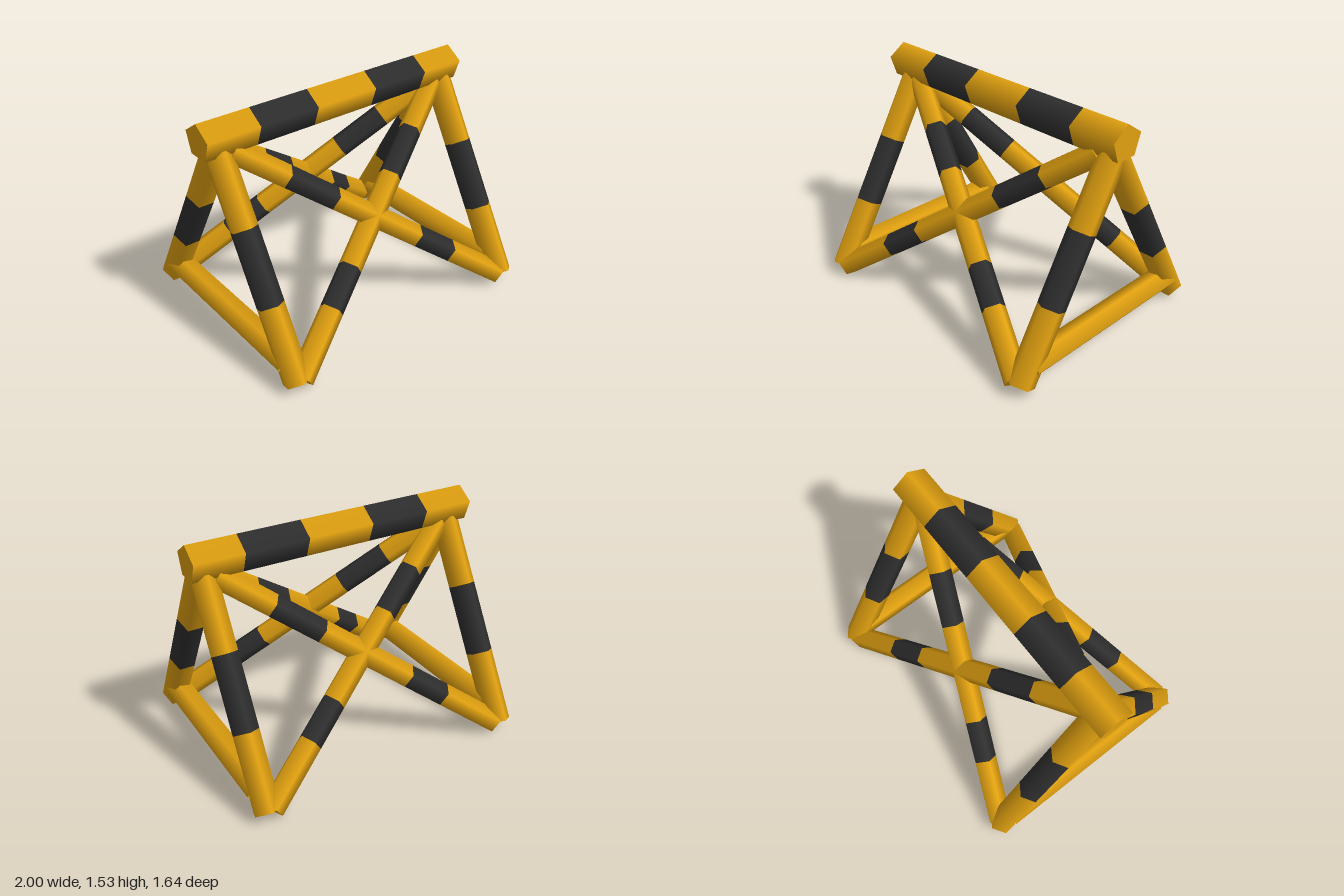
import * as THREE from 'three';

const SIDES = 5;
const yellow = new THREE.MeshStandardMaterial({ color: 0xe0a010 });
yellow.name = 'safety yellow';
const black = new THREE.MeshStandardMaterial({ color: 0x2f2f2f });
black.name = 'stripe black';

// Five-sided pole between two points, with one ridge facing `ridge`.
// `stops` are the fractions along the pole where the colour alternates.
function pole(name, from, to, ridge, halfWidth, depth, stops = []) {
  const a = new THREE.Vector3(...from);
  const b = new THREE.Vector3(...to);
  const rings = [0, ...stops, 1];
  const spans = rings.length - 1;
  const length = a.distanceTo(b);
  const geometry = new THREE.CylinderGeometry(1, 1, 1, SIDES, spans);

  // Slide the rings to the stripe boundaries
  const position = geometry.attributes.position;
  for (let i = 0; i < position.count; i++) {
    const ring = Math.round((position.getY(i) + 0.5) * spans);
    position.setY(i, rings[ring] * length);
  }

  // Alternate the colours along each side, keeping both caps yellow
  geometry.clearGroups();
  for (let side = 0; side < SIDES; side++) {
    for (let s = 0; s < spans; s++) {
      geometry.addGroup((side * spans + s) * 6, 6, s % 2);
    }
  }
  geometry.addGroup(SIDES * spans * 6, SIDES * 6, 0);

  // Lay the pole along its axis
  const axis = b.clone().sub(a).normalize();
  const out = new THREE.Vector3(...ridge);
  out.addScaledVector(axis, -out.dot(axis)).normalize();
  const across = new THREE.Vector3().crossVectors(axis, out);
  geometry.scale(halfWidth, 1, depth);
  geometry.applyMatrix4(new THREE.Matrix4().makeBasis(across, axis, out).setPosition(a));

  const mesh = new THREE.Mesh(geometry, [yellow, black]);
  mesh.name = name;
  return mesh;
}

export function createModel() {
  const model = new THREE.Group();
  model.name = 'barricade';

  // Top rail
  model.add(pole('topRail', [-1, 1.411, 0], [1, 1.411, 0], [0, 1, 0],
    0.127, 0.119, [0.18, 0.39, 0.62, 0.835]));

  const legX = { right: -0.88, left: 0.91 };
  const middle = 0.015;

  for (const [face, z] of [['front', 1], ['back', -1]]) {
    const outward = [0, 0.5, 0.866 * z];
    for (const [side, x] of Object.entries(legX)) {
      // Sloping legs
      model.add(pole(`${face}Leg_${side}`, [x, 0.063, 0.734 * z], [x, 1.311, 0.013 * z],
        outward, 0.0895, 0.098, [0.342, 0.675]));

      // Crossed diagonal braces, in the plane of the legs
      const s = Math.sign(x);
      model.add(pole(`${face}Brace_${side}`,
        [middle + s * 0.86, 0.066, 0.732 * z], [middle - s * 0.815, 1.3, 0.02 * z],
        outward, 0.08, 0.083, [0.21, 0.345, 0.655, 0.82]));
    }
  }

  // Plain tie bars joining the feet at each end
  for (const [side, x] of Object.entries(legX)) {
    model.add(pole(`footTie_${side}`, [x, 0.162, -0.67], [x, 0.162, 0.67],
      [Math.sign(x), 0, 0], 0.087, 0.087));
  }

  return model;
}
